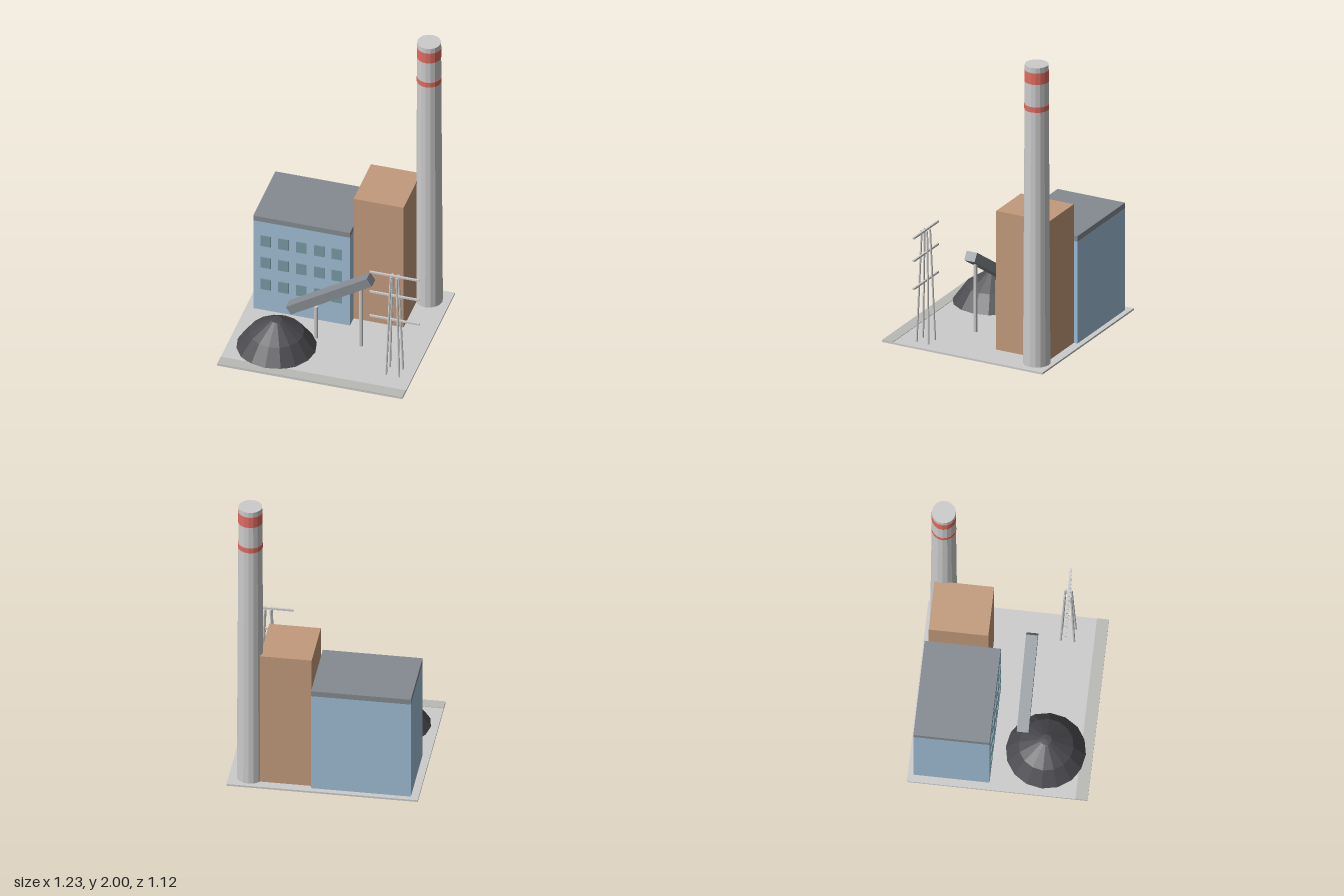
import * as THREE from 'three';

const material = (color) => new THREE.MeshStandardMaterial({ color, flatShading: true });
const grey = material(0xcccccc);
const road = material(0xb9b9b6);
const slate = material(0x858b91);
const blue = material(0xa0bdd6);
const glass = material(0x7799a3);
const brown = material(0xc29a7c);
const red = material(0xe06c60);
const coal = material(0x4b4a4f);

export function createModel() {
  const model = new THREE.Group();

  const add = (name, geometry, mat) => {
    const mesh = new THREE.Mesh(geometry, mat);
    mesh.name = name;
    model.add(mesh);
    return mesh;
  };

  // Box given by its limits on each axis
  const box = (name, mat, x0, x1, y0, y1, z0, z1) => {
    const mesh = add(name, new THREE.BoxGeometry(x1 - x0, y1 - y0, z1 - z0), mat);
    mesh.position.set((x0 + x1) / 2, (y0 + y1) / 2, (z0 + z1) / 2);
    return mesh;
  };

  // Round bar running between two points
  const bar = (name, a, b, radius, sides = 6) => {
    const from = new THREE.Vector3(...a);
    const dir = new THREE.Vector3(...b).sub(from);
    const mesh = add(name, new THREE.CylinderGeometry(radius, radius, dir.length(), sides), grey);
    mesh.position.copy(from).addScaledVector(dir, 0.5);
    mesh.quaternion.setFromUnitVectors(new THREE.Vector3(0, 1, 0), dir.normalize());
    return mesh;
  };

  // Ground slab with a road strip along the front
  const ground = 0.012;
  box('groundSlab', grey, -0.615, 0.577, 0, ground, -0.56, 0.56);
  box('roadStrip', road, -0.615, 0.577, ground, 0.015, 0.485, 0.56);

  // Turbine hall with roof and three rows of windows
  box('turbineHall', blue, -0.567, 0.055, ground, 0.69, -0.525, -0.053);
  box('hallRoof', slate, -0.567, 0.055, 0.69, 0.726, -0.525, -0.053);
  for (const y of [0.215, 0.382, 0.548]) {
    for (let i = 0; i < 5; i++) {
      const x = -0.486 + i * 0.1145;
      box('window', glass, x - 0.033, x + 0.033, y - 0.04, y + 0.04, -0.056, -0.046);
    }
  }

  // Boiler house
  box('boilerHouse', brown, 0.055, 0.377, ground, 0.935, -0.5, -0.13);

  // Tapered chimney with two painted bands
  const chimneyX = 0.445, chimneyZ = -0.45;
  const chimneyRadius = (y) => 0.085 - 0.011 * (y - ground) / (2 - ground);
  const chimneyRing = (name, mat, y0, y1, extra) => {
    const geometry = new THREE.CylinderGeometry(
      chimneyRadius(y1) + extra, chimneyRadius(y0) + extra, y1 - y0, 16);
    add(name, geometry, mat).position.set(chimneyX, (y0 + y1) / 2, chimneyZ);
  };
  chimneyRing('chimney', grey, ground, 2, 0);
  chimneyRing('upperBand', red, 1.89, 1.965, 0.002);
  chimneyRing('lowerBand', red, 1.705, 1.74, 0.002);

  // Faceted coal heap
  const heapProfile = [[0.249, 0], [0.17, 0.108], [0.035, 0.199], [0, 0.202]]
    .map(([r, y]) => new THREE.Vector2(r, y));
  add('coalHeap', new THREE.LatheGeometry(heapProfile, 16), coal).position.set(-0.32, ground, 0.27);

  // Sloping conveyor on two posts
  const conveyor = add('conveyor', new THREE.BoxGeometry(0.616, 0.061, 0.073), slate);
  conveyor.position.set(-0.018, 0.37, 0.121);
  conveyor.rotation.z = 0.563;
  bar('conveyorPost', [-0.11, ground, 0.121], [-0.11, 0.25, 0.121], 0.013, 8);
  bar('conveyorPost', [0.178, ground, 0.121], [0.178, 0.472, 0.121], 0.013, 8);

  // Power pylon: four leaning legs and three cross arms
  const px = 0.454, pz = 0.32;
  for (const sx of [-1, 1]) {
    for (const sz of [-1, 1]) {
      bar('pylonLeg', [px + sx * 0.042, ground, pz + sz * 0.042],
        [px + sx * 0.019, 0.75, pz + sz * 0.019], 0.007);
    }
  }
  for (const y of [0.413, 0.599, 0.75]) {
    box('crossArm', grey, px - 0.161, px + 0.161, y - 0.006, y + 0.006, pz - 0.006, pz + 0.006);
  }

  return model;
}
